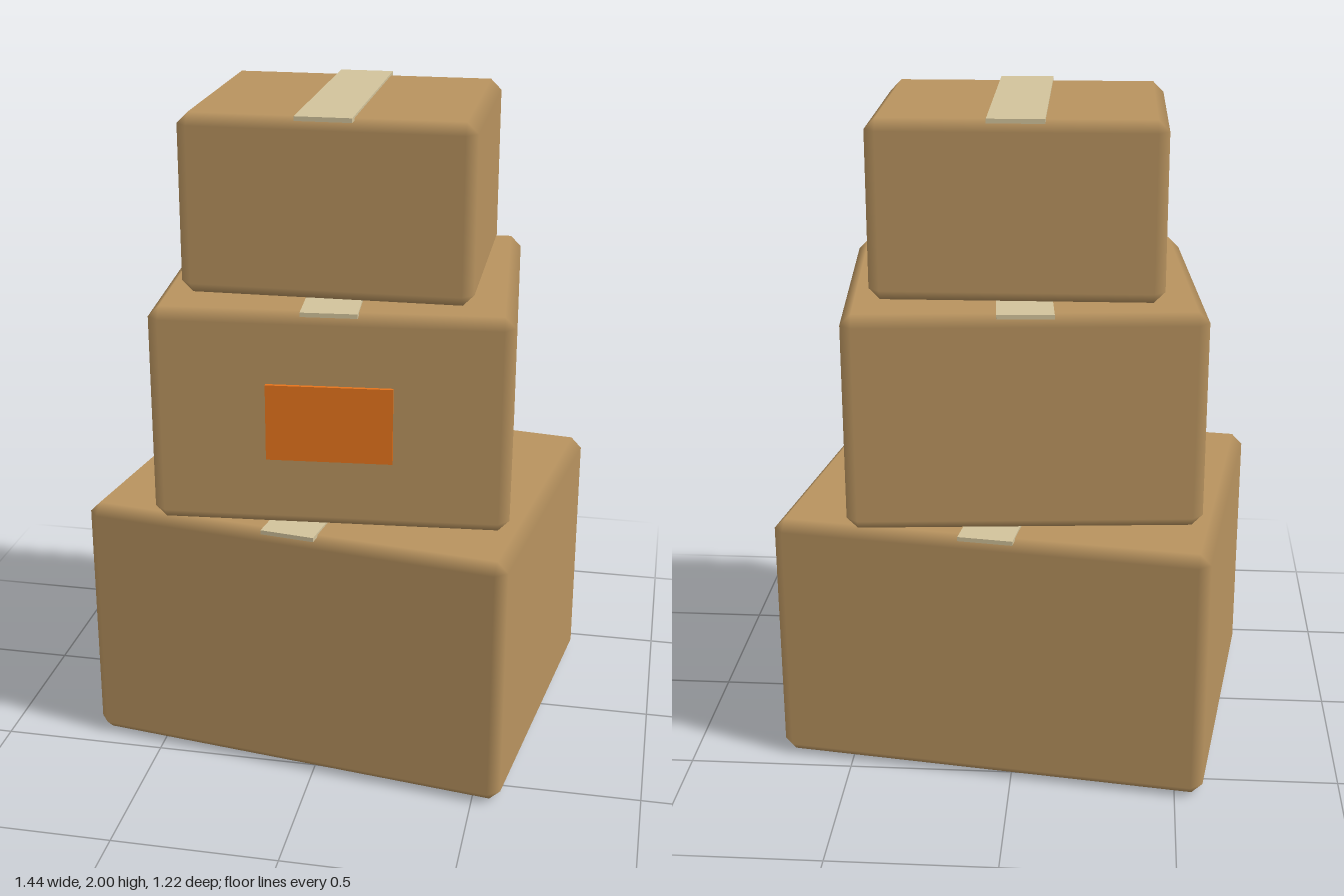
import * as THREE from 'three';
import { ConvexGeometry } from 'three/addons/geometries/ConvexGeometry.js';

const cardboard = new THREE.MeshStandardMaterial({ color: 0xb8935f });
const tapeMaterial = new THREE.MeshStandardMaterial({ color: 0xd2c39b });
const labelMaterial = new THREE.MeshStandardMaterial({ color: 0xe5741c });

const CHAMFER = 0.033;
const TAPE_WIDTH = 0.165;
const THICKNESS = 0.0132;

// Box with one chamfer per edge; face normals blend softly across the chamfers
function chamferedBox(w, h, d, c) {
  const half = [w / 2, h / 2, d / 2];
  const points = [];
  for (const sx of [-1, 1]) for (const sy of [-1, 1]) for (const sz of [-1, 1]) {
    const signs = [sx, sy, sz];
    for (let axis = 0; axis < 3; axis++) {
      points.push(new THREE.Vector3(...half.map((v, i) => signs[i] * (i === axis ? v : v - c))));
    }
  }
  const geometry = new ConvexGeometry(points);
  const position = geometry.attributes.position;
  const normal = geometry.attributes.normal;
  for (let i = 0; i < position.count; i++) {
    const p = [position.getX(i), position.getY(i), position.getZ(i)];
    const n = p.map((v, k) => (Math.abs(v) > half[k] - c / 2 ? Math.sign(v) : 0));
    normal.setXYZ(i, ...n);
  }
  return geometry;
}

function addMesh(parent, name, geometry, material, x, y, z) {
  const mesh = new THREE.Mesh(geometry, material);
  mesh.name = name;
  mesh.position.set(x, y, z);
  parent.add(mesh);
}

// Cardboard box with a strip of tape running front to back over its lid
function makeBox(name, w, h, d, base, degrees) {
  const box = new THREE.Group();
  box.name = name;
  box.position.y = base;
  box.rotation.y = THREE.MathUtils.degToRad(degrees);
  addMesh(box, 'carton', chamferedBox(w, h, d, CHAMFER), cardboard, 0, h / 2, 0);
  addMesh(box, 'tape', new THREE.BoxGeometry(TAPE_WIDTH, THICKNESS, d + THICKNESS), tapeMaterial, 0, h, 0);
  return box;
}

export function createModel() {
  const model = new THREE.Group();
  model.name = 'boxStack';

  const bottom = makeBox('bottomBox', 1.32, 0.792, 1.056, 0, -8);
  const middle = makeBox('middleBox', 1.056, 0.66, 0.924, 0.7987, 5);
  const top = makeBox('topBox', 0.858, 0.528, 0.726, 1.4654, 1);

  // Shipping label on the front of the middle box
  addMesh(middle, 'label', new THREE.BoxGeometry(0.37, 0.231, THICKNESS), labelMaterial, 0, 0.33, 0.467);

  model.add(bottom, middle, top);
  return model;
}
